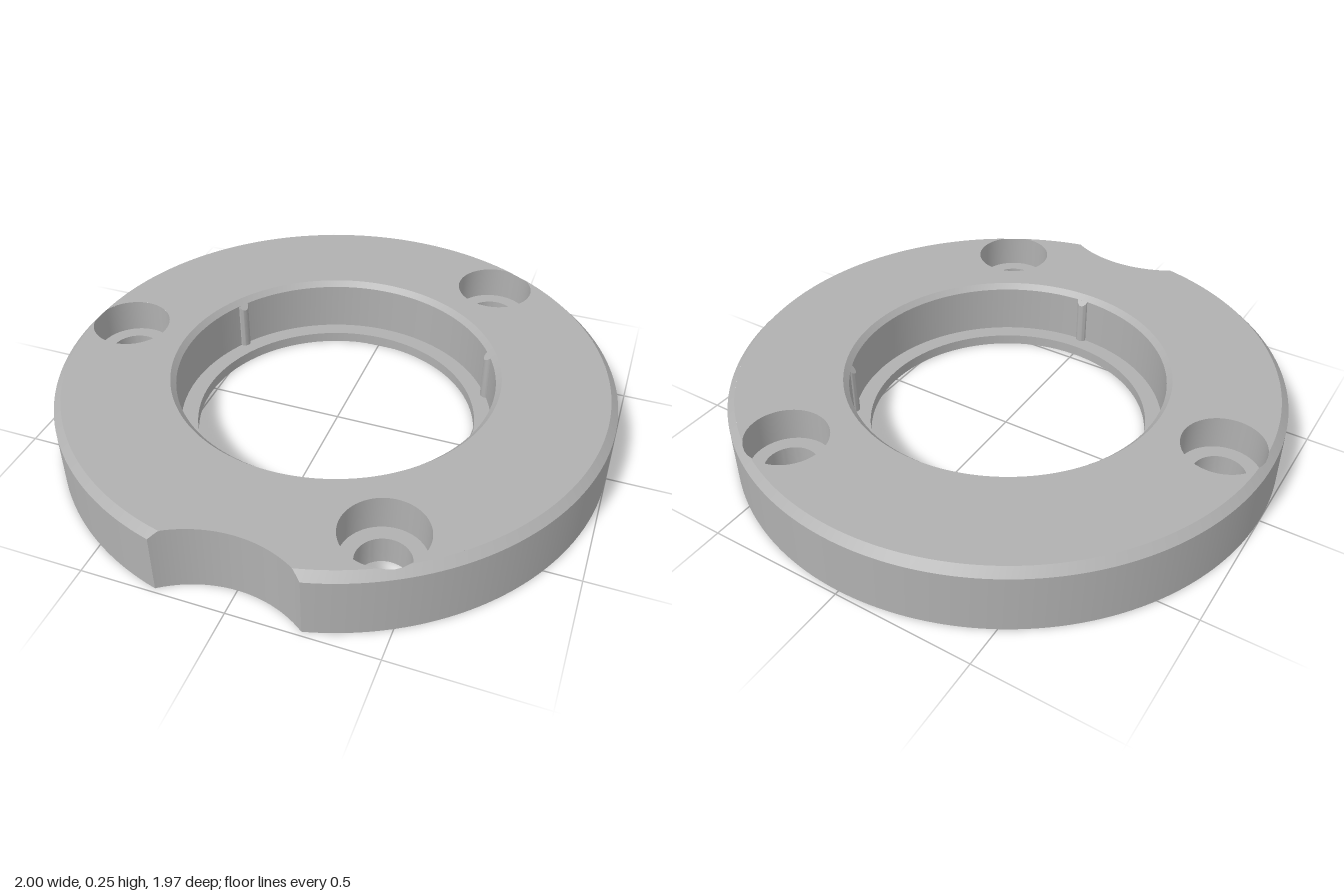
import * as THREE from 'three';
import { toCreasedNormals } from 'three/addons/utils/BufferGeometryUtils.js';

const H = 0.245, R = 1, RIM = 0.973;            // height, outer radius, radius of top face
const LIP = 0.513, BORE = 0.575, BORE_TOP = 0.594;
const HOLE = 0.092, SINK = 0.144, FLOOR = 0.12, RECESS = 0.018;

// Circles that cut the ring: angle, distance from the centre, radius
const notch = { phi: -Math.PI / 2, d: 1.305, b: 0.415 };
const sinks = [-Math.PI / 3, Math.PI / 3, Math.PI].map(phi => ({ phi, d: 0.835, b: SINK }));

const polar = (r, a, x = 0, y = 0) => new THREE.Vector2(x + r * Math.cos(a), y + r * Math.sin(a));
const topY = p => H - Math.max(0, p.length() - RIM);
const at = (p, y) => new THREE.Vector3(p.x, y, -p.y);
// Half angle of a cutting circle as seen from the centre, on radius r
const halfAngle = ({ d, b }, r) => Math.acos((r * r + d * d - b * b) / (2 * r * d));

function arc(r, a0, a1, n, x = 0, y = 0) {
  return Array.from({ length: n + 1 }, (_, i) => polar(r, a0 + (a1 - a0) * i / n, x, y));
}

// Circle of radius r with bites taken out of it, counter-clockwise and closed
function outline(r, bites) {
  const pts = [];
  bites.forEach((c, i) => {
    const m = polar(c.d, c.phi);
    const beta = Math.acos((c.d ** 2 + c.b ** 2 - r * r) / (2 * c.d * c.b));
    const inward = c.phi + Math.PI;
    pts.push(...arc(c.b, inward + beta, inward - beta, 48, m.x, m.y));
    const next = bites[(i + 1) % bites.length];
    const end = next.phi + (i + 1 === bites.length ? 2 * Math.PI : 0);
    pts.push(...arc(r, c.phi + halfAngle(c, r), end - halfAngle(next, r),
      Math.round(240 / bites.length)).slice(1, -1));
  });
  pts.push(pts[0].clone());
  return pts;
}

// Band of faces between a lower and an upper row of points
function strip(low, up) {
  const v = [];
  const tri = (a, b, c) => {
    if (a.distanceTo(b) > 1e-6 && b.distanceTo(c) > 1e-6 && c.distanceTo(a) > 1e-6)
      for (const p of [a, b, c]) v.push(p.x, p.y, p.z);
  };
  for (let i = 0; i + 1 < low.length; i++) {
    tri(low[i], low[i + 1], up[i + 1]);
    tri(low[i], up[i + 1], up[i]);
  }
  const g = new THREE.BufferGeometry();
  g.setAttribute('position', new THREE.Float32BufferAttribute(v, 3));
  return toCreasedNormals(g, 0.5);
}

const wall = (pts, y0, yTop) => strip(pts.map(p => at(p, y0)), pts.map(p => at(p, yTop(p))));

// Flat horizontal face with holes, facing up or down
function cap(pts, holes, y, up = true) {
  const flip = list => list.slice(0, -1).map(p => new THREE.Vector2(p.x, up ? p.y : -p.y));
  const shape = new THREE.Shape(flip(pts));
  shape.holes = holes.map(h => new THREE.Path(flip(h)));
  return new THREE.ShapeGeometry(shape).rotateX(up ? -Math.PI / 2 : Math.PI / 2).translate(0, y, 0);
}

// Outer chamfer, trimmed by the notch and the screw holes
function chamferGeometry() {
  const angles = Array.from({ length: 241 }, (_, i) => -Math.PI / 2 + i * Math.PI / 120);
  for (const c of [notch, ...sinks])
    for (const r of c === notch ? [RIM, R] : [RIM])
      for (const s of [-1, 1]) {
        const a = c.phi + s * halfAngle(c, r);
        angles.push(a < -Math.PI / 2 ? a + 2 * Math.PI : a);
      }
  angles.sort((a, b) => a - b);
  const low = [], up = [];
  for (const a of angles) {
    let rIn = RIM, rOut = R;
    for (const c of [notch, ...sinks]) {
      const cos = Math.cos(a - c.phi), root = c.b ** 2 - c.d ** 2 * (1 - cos * cos);
      if (cos < 0 || root < 0) continue;
      if (c === notch) rOut = Math.min(rOut, c.d * cos - Math.sqrt(root));
      else rIn = Math.max(rIn, c.d * cos + Math.sqrt(root));
    }
    rOut = Math.max(rOut, rIn);
    const pIn = polar(rIn, a), pOut = polar(rOut, a);
    low.push(at(pOut, topY(pOut)));
    up.push(at(pIn, topY(pIn)));
  }
  return strip(low, up);
}

export function createModel() {
  const model = new THREE.Group();
  model.name = 'flangeRing';
  const metal = new THREE.MeshStandardMaterial({ color: 0xb0b0b0 });
  metal.name = 'grey metal';
  const add = (name, geometry, parent = model) => {
    const mesh = new THREE.Mesh(geometry, metal);
    mesh.name = name;
    parent.add(mesh);
    return mesh;
  };
  const circle = (r, x = 0, y = 0, n = 64) => arc(r, 2 * Math.PI, 0, n, x, y);

  // Ring body
  const centres = sinks.map(s => polar(s.d, s.phi));
  const rim = outline(R, [notch]);
  add('outerWall', wall(rim, 0, topY));
  add('outerChamfer', chamferGeometry());
  add('topFace', cap(outline(RIM, [notch, ...sinks]), [circle(BORE_TOP, 0, 0, 160)], H));
  add('bottomFace', cap(rim, [circle(LIP, 0, 0, 160), ...centres.map(c => circle(SINK, c.x, c.y))], 0, false));

  // Stepped bore: lip, ledge, wall and chamfer
  const profile = [[LIP, 0], [LIP, 0.04], [BORE, 0.04], [BORE, H - 0.02], [BORE_TOP, H]];
  for (let i = 0; i < profile.length - 1; i++) {
    const [[r0, y0], [r1, y1]] = [profile[i], profile[i + 1]];
    add(['lip', 'ledge', 'boreWall', 'boreChamfer'][i], strip(
      circle(r0, 0, 0, 160).map(p => at(p, y0)), circle(r1, 0, 0, 160).map(p => at(p, y1))));
  }

  // Counterbored screw holes, sunk on both faces
  centres.forEach(c => {
    const hole = new THREE.Group();
    hole.name = 'screwHole';
    model.add(hole);
    const big = circle(SINK, c.x, c.y), small = circle(HOLE, c.x, c.y);
    add('counterboreWall', wall(big, FLOOR, topY), hole);
    add('counterboreFloor', cap(big, [small], FLOOR), hole);
    add('holeWall', wall(small, RECESS, () => FLOOR), hole);
    add('recessFloor', cap(big, [small], RECESS, false), hole);
    add('recessWall', wall(big, 0, () => RECESS), hole);
  });

  // Half-round ribs in the bore, tops sloped to follow its chamfer
  const ribAngles = [-Math.PI / 2, Math.PI / 6, Math.PI * 5 / 6];
  for (const a of ribAngles) {
    const g = new THREE.CylinderGeometry(0.022, 0.022, 1, 16, 1, false, Math.PI, Math.PI);
    const pos = g.attributes.position;
    for (let i = 0; i < pos.count; i++) {
      const slope = H - 0.02 + Math.min(0.019, 0.005 + pos.getX(i));
      pos.setY(i, pos.getY(i) > 0 ? slope : 0.04);
    }
    const rib = add('boreRib', toCreasedNormals(g, 0.5));
    rib.position.copy(at(polar(0.58, a), 0));
    rib.rotation.y = a;
  }

  model.position.z = 0.015;
  return model;
}
